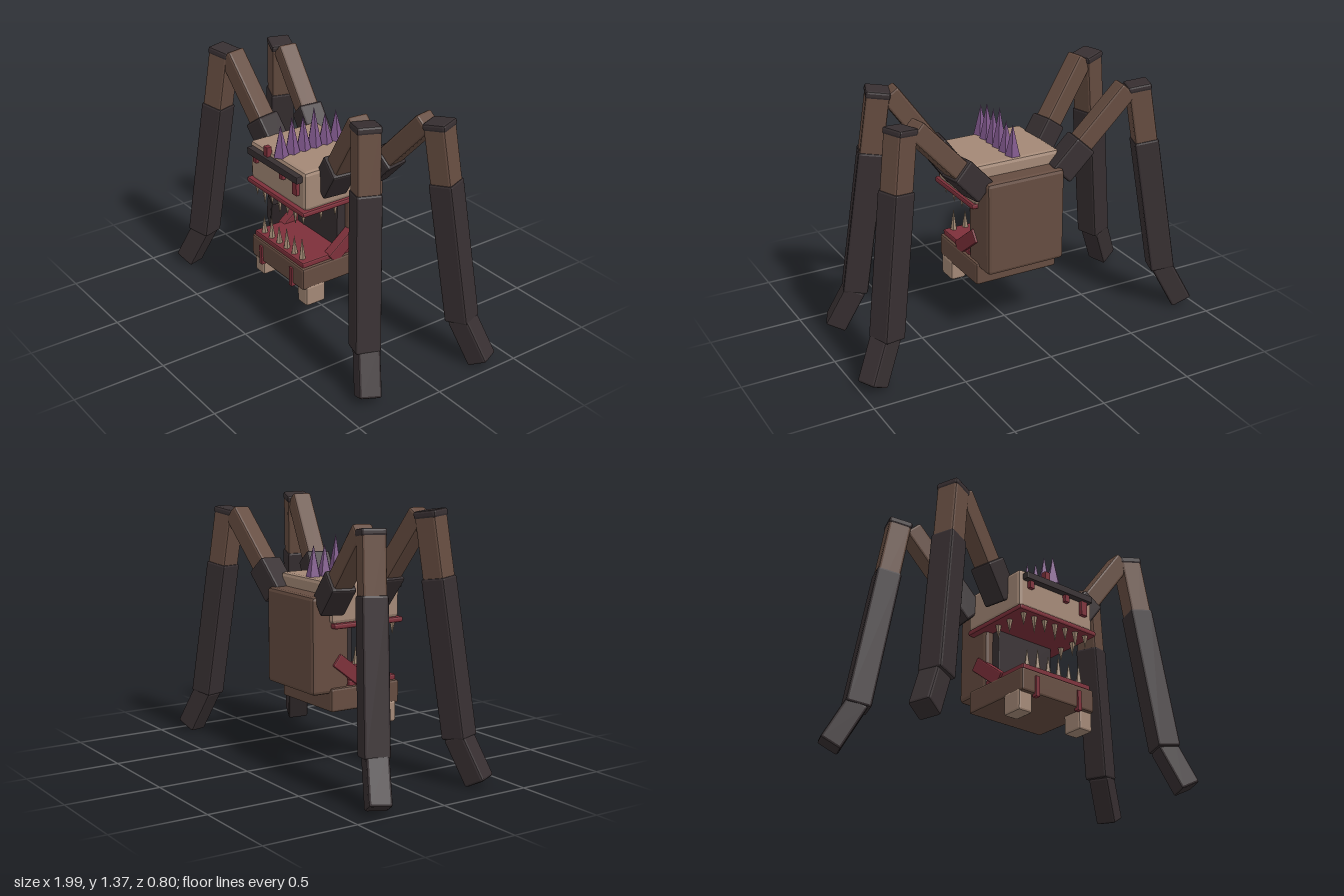
import * as THREE from 'three';
import { RoundedBoxGeometry } from 'three/addons/geometries/RoundedBoxGeometry.js';

const mat = (name, color) => {
  const m = new THREE.MeshStandardMaterial({ color, flatShading: true });
  m.name = name;
  return m;
};

export function createModel() {
  const model = new THREE.Group();
  model.name = 'creature';
  const tan = mat('tan hide', 0xa38876);
  const brown = mat('brown hide', 0x654c40);
  const dark = mat('dark shell', 0x372f31);
  const red = mat('red flesh', 0x7d303a);
  const purple = mat('purple spike', 0x7d5689);
  const ivory = mat('tooth', 0xa18a74);

  const add = (name, geometry, material, parent = model) => {
    const mesh = new THREE.Mesh(geometry, material);
    mesh.name = name;
    parent.add(mesh);
    return mesh;
  };
  // chamfered box given by its limits on each axis
  const block = (name, material, [x0, x1], [y0, y1], [z0, z1], bevel = 0.012) => {
    const g = new RoundedBoxGeometry(x1 - x0, y1 - y0, z1 - z0, 1, bevel);
    const mesh = add(name, g, material);
    mesh.position.set((x0 + x1) / 2, (y0 + y1) / 2, (z0 + z1) / 2);
    return mesh;
  };
  const cone = (name, material, x, y, z, r, h, sides, down = false) => {
    const mesh = add(name, new THREE.ConeGeometry(r, h, sides), material);
    mesh.position.set(x, y + (down ? -h / 2 : h / 2), z);
    if (down) mesh.rotation.x = Math.PI;
    return mesh;
  };

  // head, body and mouth
  block('head', tan, [-0.25, 0.25], [0.785, 1.0], [-0.14, 0.28], 0.02);
  block('body', brown, [-0.225, 0.225], [0.42, 0.93], [-0.24, -0.02], 0.02);
  block('mouthBack', dark, [-0.18, 0.18], [0.45, 0.77], [-0.03, 0.03], 0.005);
  block('upperLip', red, [-0.26, 0.26], [0.76, 0.79], [-0.13, 0.3], 0.01);
  block('lowerJaw', brown, [-0.24, 0.24], [0.325, 0.45], [-0.135, 0.29]);
  block('lowerLip', red, [-0.225, 0.225], [0.445, 0.478], [-0.02, 0.28], 0.008);
  for (const s of [-1, 1]) {
    const cheek = add('cheek', new RoundedBoxGeometry(0.055, 0.075, 0.25, 1, 0.006), red);
    cheek.position.set(s * 0.21, 0.52, 0.0);
    cheek.rotation.x = 0.66;
    block('chinStub', tan, [s * 0.2 - 0.043, s * 0.2 + 0.043], [0.225, 0.34], [0.15, 0.27]);
  }

  // brow band and drips
  block('browBand', dark, [-0.225, 0.225], [0.94, 0.978], [0.27, 0.315], 0.004);
  const drips = [[-0.18, 0.9, 0.95, 0.03], [0.06, 0.9, 0.95, 0.03], [0.18, 0.86, 0.95, 0.04],
    [-0.075, 0.975, 1.03, 0.035], [-0.145, 0.31, 0.42, 0.025], [0.135, 0.31, 0.42, 0.025]];
  for (const [x, y0, y1, w] of drips) {
    block('drip', red, [x - w / 2, x + w / 2], [y0, y1], [0.27, 0.3], 0.003);
  }

  // upper teeth: front row and both sides
  for (let i = 0; i < 7; i++) {
    cone('upperTooth', ivory, -0.21 + i * 0.07, 0.765, 0.265, 0.017, i % 2 ? 0.1 : 0.075, 5, true);
  }
  for (const s of [-1, 1]) {
    for (const z of [0.16, 0.07]) cone('upperTooth', ivory, s * 0.215, 0.765, z, 0.017, 0.08, 5, true);
  }
  // lower teeth
  for (let i = 0; i < 6; i++) {
    cone('lowerTooth', ivory, -0.175 + i * 0.07, 0.47, 0.25, 0.019, i % 2 ? 0.13 : 0.11, 5);
  }

  // spikes along the crown
  [0.17, 0.17, 0.22, 0.19, 0.2, 0.17].forEach((h, i) => {
    cone('crownSpike', purple, 0, 0.995, -0.09 + i * 0.069, 0.042, h, 5);
  });

  // limb piece running from a to b, turned by yaw about its length
  const limb = (name, material, a, b, width, yaw, parent) => {
    const mid = a.clone().add(b).multiplyScalar(0.5);
    const dir = b.clone().sub(a);
    const mesh = add(name, new RoundedBoxGeometry(width, dir.length(), width, 1, 0.012), material, parent);
    const y = dir.normalize();
    const z = new THREE.Vector3(Math.cos(yaw), 0, Math.sin(yaw)).cross(y).normalize();
    const x = y.clone().cross(z);
    mesh.quaternion.setFromRotationMatrix(new THREE.Matrix4().makeBasis(x, y, z));
    mesh.position.copy(mid);
  };
  // joint points of the front and rear legs on the left side
  const legs = [
    { name: 'frontLeg', hip: [0.23, 0.88, 0.115], elbow: [0.57, 1.36, 0.18],
      knee: [0.615, 1.38, 0.19], ankle: [0.755, 0.25, 0.285], heel: [0.755, 0.27, 0.275], toe: [0.855, 0.04, 0.337] },
    { name: 'rearLeg', hip: [0.23, 0.88, -0.15], elbow: [0.615, 1.295, -0.195],
      knee: [0.675, 1.315, -0.205], ankle: [0.825, 0.25, -0.285], heel: [0.825, 0.27, -0.28], toe: [0.935, 0.04, -0.337] },
  ];
  for (const leg of legs) {
    for (const s of [-1, 1]) {
      const g = new THREE.Group();
      g.name = leg.name;
      model.add(g);
      const p = (k) => new THREE.Vector3(s * leg[k][0], leg[k][1], leg[k][2]);
      const turn = s * Math.sign(leg.hip[2]);
      const hip = p('hip'), elbow = p('elbow'), knee = p('knee'), ankle = p('ankle');
      limb('upperArm', brown, hip, elbow, 0.105, turn * 0.15, g);
      limb('hipSleeve', dark, hip, hip.clone().lerp(elbow, 0.36), 0.135, turn * 0.15, g);
      limb('shin', brown, knee.clone().lerp(ankle, 0.01), knee.clone().lerp(ankle, 0.5), 0.12, turn * 0.35, g);
      limb('kneeCap', dark, knee, knee.clone().lerp(ankle, 0.035), 0.127, turn * 0.35, g);
      limb('shinSleeve', dark, knee.clone().lerp(ankle, 0.29), ankle, 0.132, turn * 0.35, g);
      limb('foot', dark, p('heel'), p('toe'), 0.115, turn * 0.4, g);
    }
  }
  return model;
}
